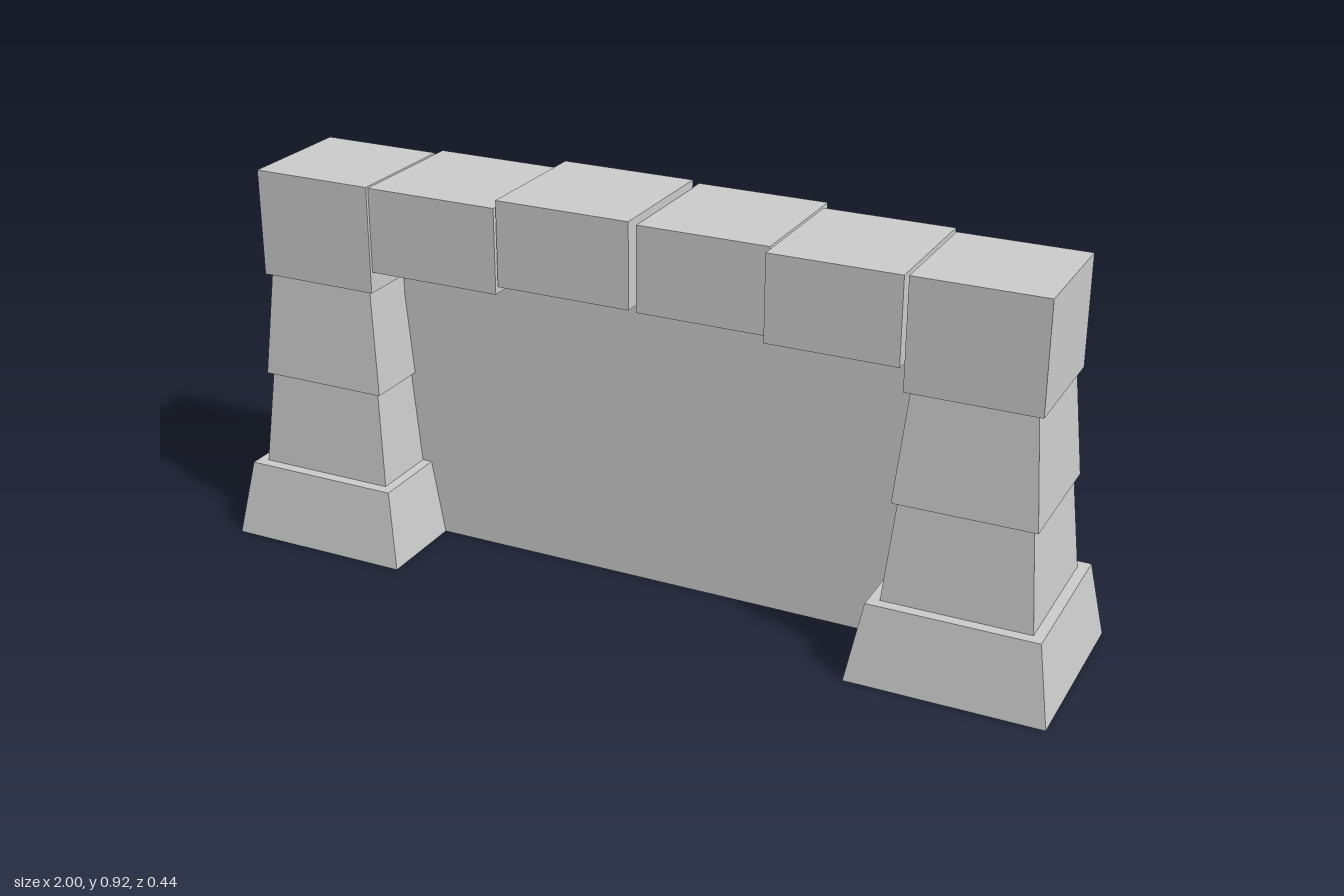
import * as THREE from 'three';

const stone = new THREE.MeshStandardMaterial({ color: 0xcccccc, flatShading: true });
const sheet = new THREE.MeshStandardMaterial({ color: 0xcccccc, side: THREE.DoubleSide });

// Block standing on y = 0 whose top may be narrower than its bottom
function taperedBlock(name, [w, d], [topW, topD], height) {
  const geo = new THREE.BoxGeometry(w, height, d).translate(0, height / 2, 0);
  const pos = geo.attributes.position;
  for (let i = 0; i < pos.count; i++) {
    if (pos.getY(i) > height / 2) {
      pos.setX(i, pos.getX(i) * topW / w);
      pos.setZ(i, pos.getZ(i) * topD / d);
    }
  }
  geo.computeVertexNormals();
  const mesh = new THREE.Mesh(geo, stone);
  mesh.name = name;
  return mesh;
}

// Pillar tiers: name, y range, bottom [width, depth], top [width, depth]
const tiers = [
  ['pillarBase', 0, 0.18, [0.443, 0.438], [0.38, 0.38]],
  ['pillarLowerBlock', 0.18, 0.405, [0.332, 0.328], [0.29, 0.288]],
  ['pillarUpperBlock', 0.405, 0.652, [0.312, 0.308], [0.267, 0.27]],
  ['pillarCap', 0.652, 0.902, [0.291, 0.29], [0.291, 0.29]],
];

// Coping stones: x range, bottom y, back z
const copings = [
  [-0.633, -0.313, 0.7, -0.18],
  [-0.307, 0.012, 0.719, -0.18],
  [0.01, 0.317, 0.7, -0.218],
  [0.323, 0.62, 0.7, -0.18],
];

export function createModel() {
  const model = new THREE.Group();
  model.name = 'stoneWall';

  // Stacked pillars at both ends
  for (const [side, name] of [[-1, 'rightPillar'], [1, 'leftPillar']]) {
    const pillar = new THREE.Group();
    pillar.name = name;
    pillar.position.x = side * 0.778;
    for (const [part, y0, y1, bottom, top] of tiers) {
      const block = taperedBlock(part, bottom, top, y1 - y0);
      block.position.y = y0;
      pillar.add(block);
    }
    model.add(pillar);
  }

  // Row of slightly uneven coping stones
  copings.forEach(([x0, x1, y, back], i) => {
    const size = [x1 - x0, 0.317];
    const block = taperedBlock(`copingStone${i + 1}`, size, size, 0.198);
    block.position.set((x0 + x1) / 2, y, back + 0.317 / 2);
    model.add(block);
  });

  // Thin wall panel between the pillars
  const panel = new THREE.Mesh(new THREE.PlaneGeometry(1.27, 0.8), sheet);
  panel.name = 'wallPanel';
  panel.position.set(-0.005, 0.4, 0);
  model.add(panel);

  return model;
}
